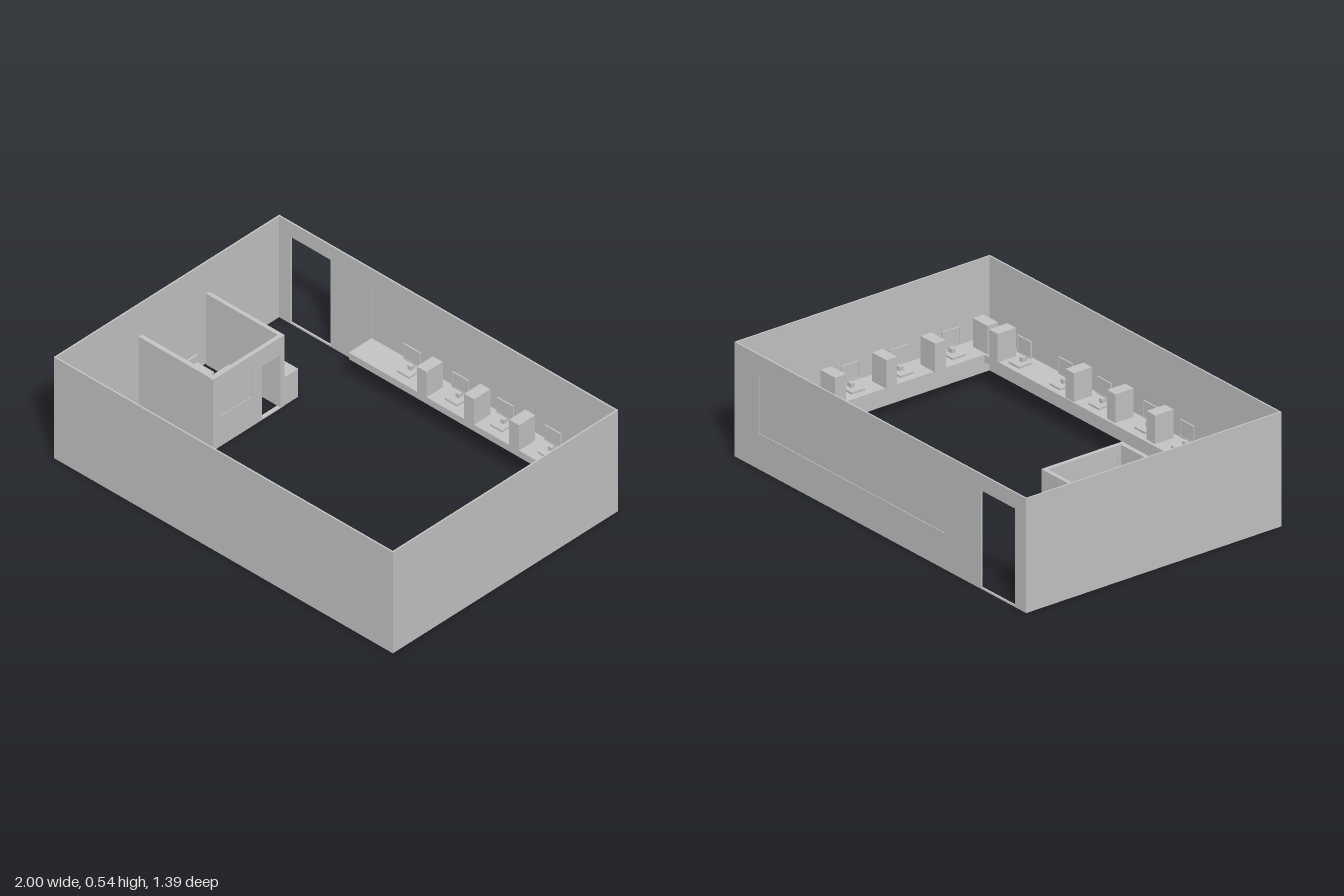
import * as THREE from 'three';

const grey = new THREE.MeshStandardMaterial({ color: 0xc4c4c4 });
grey.name = 'light grey';

// Box given by its minimum and maximum on each axis
function box(parent, name, x0, x1, y0, y1, z0, z1) {
  const mesh = new THREE.Mesh(new THREE.BoxGeometry(x1 - x0, y1 - y0, z1 - z0), grey);
  mesh.position.set((x0 + x1) / 2, (y0 + y1) / 2, (z0 + z1) / 2);
  mesh.name = name;
  parent.add(mesh);
  return mesh;
}

function subgroup(parent, name, x = 0, y = 0, z = 0, turn = 0) {
  const g = new THREE.Group();
  g.name = name;
  g.position.set(x, y, z);
  g.rotation.y = turn;
  parent.add(g);
  return g;
}

// Upright panel in the XY plane with rectangular holes [u0, u1, v0, v1]
function panel(parent, name, u0, u1, height, depth, holes) {
  const rect = (P, a, b, c, d) => new P([[a, c], [b, c], [b, d], [a, d]].map(p => new THREE.Vector2(...p)));
  const shape = rect(THREE.Shape, u0, u1, 0, height);
  holes.forEach(h => shape.holes.push(rect(THREE.Path, ...h)));
  const mesh = new THREE.Mesh(new THREE.ExtrudeGeometry(shape, { depth, bevelEnabled: false }), grey);
  mesh.name = name;
  parent.add(mesh);
  return mesh;
}

// Screen facing local +z, on a post and a flat base
function monitor(parent, x, y, z, turn) {
  const g = subgroup(parent, 'monitor', x, y, z, turn);
  box(g, 'screen', -0.048, 0.048, 0.035, 0.115, -0.003, 0.002);
  box(g, 'screenFrameTop', -0.048, 0.048, 0.11, 0.115, 0.002, 0.004);
  box(g, 'screenFrameBottom', -0.048, 0.048, 0.035, 0.04, 0.002, 0.004);
  for (const s of [-1, 1]) box(g, 'screenFrameSide', s * 0.0455 - 0.0025, s * 0.0455 + 0.0025, 0.04, 0.11, 0.002, 0.004);
  box(g, 'post', -0.01, 0.01, 0.008, 0.06, -0.009, -0.003);
  box(g, 'neck', -0.01, 0.01, 0.008, 0.03, -0.003, 0.02);
  box(g, 'base', -0.036, 0.036, 0, 0.01, -0.01, 0.058);
}

// Computer case, long along local z
function tower(parent, x, y, z, turn) {
  const g = subgroup(parent, 'computerCase', x, y, z, turn);
  box(g, 'case', -0.029, 0.029, 0, 0.135, -0.05, 0.05);
}

function legs(parent, x0, x1, z0, z1, h, t) {
  for (const x of [x0, x1 - t]) for (const z of [z0, z1 - t]) box(parent, 'leg', x, x + t, 0, h, z, z + t);
}

export function createModel() {
  const room = new THREE.Group();
  room.name = 'computerRoom';
  const H = 0.54, X = 1, Z = 0.696, T = 0.008;

  // Outer walls; the back one has a doorway and a wide window
  const walls = subgroup(room, 'walls');
  box(walls, 'frontWall', -X, X - T, 0, H, Z - T, Z);
  box(walls, 'rightWall', -X, -X + T, 0, H, -Z + T, Z - T);
  box(walls, 'leftWall', X - T, X, 0, H, -Z + T, Z);
  panel(walls, 'backWall', -X, X, H, T, [[-0.925, -0.69, 0.008, 0.465], [-0.447, 0.832, 0.17, 0.45]]).position.z = -Z;
  box(walls, 'windowPane', -0.447, 0.832, 0.17, 0.45, -Z + 0.0035, -Z + 0.0045);

  // Worktops around three sides
  const D0 = 0.135, D1 = 0.17;
  const tops = subgroup(room, 'worktops');
  box(tops, 'backWorktop', -0.45, X - T, D0, D1, -Z + T, -0.55);
  box(tops, 'sideWorktop', 0.848, X - T, D0, D1, -0.55, Z - T);
  box(tops, 'frontWorktop', -0.538, 0.848, D0, D1, 0.545, Z - T);

  // Workstations
  const stations = subgroup(room, 'workstations');
  [-0.17, 0.113, 0.378, 0.66].forEach(x => monitor(stations, x, D1, -0.65, 0));
  [-0.02, 0.26, 0.525, 0.81].forEach(x => tower(stations, x, D1, -0.6, 0));
  [-0.39, -0.11, 0.155, 0.44].forEach(z => monitor(stations, 0.945, D1, z, -Math.PI / 2));
  [-0.245, 0.035, 0.3, 0.585].forEach(z => tower(stations, 0.89, D1, z, Math.PI / 2));
  [[-0.41, 0.65], [-0.165, 0.645], [0.145, 0.64], [0.4, 0.632], [0.68, 0.63]]
    .forEach(([x, z]) => monitor(stations, x, D1, z, Math.PI));
  [[-0.275, 0.61], [-0.005, 0.608], [0.27, 0.6], [0.78, 0.59]].forEach(([x, z]) => tower(stations, x, D1, z, 0));

  // Office partitions with a doorway and a shallow window
  const office = subgroup(room, 'officePartitions');
  const P = 0.38;
  box(office, 'backPartition', -0.985, -0.563, 0, P, -0.25, -0.23);
  box(office, 'frontPartition', -0.985, -0.563, 0, P, 0.167, 0.189);
  const side = panel(office, 'sidePartition', -0.192, 0.25, P, 0.02, [[0.11, 0.225, 0.005, 0.285], [-0.15, 0.05, 0.16, 0.32]]);
  side.rotation.y = Math.PI / 2;
  side.position.x = -0.563;
  box(office, 'partitionPane', -0.56, -0.546, 0.16, 0.32, -0.05, 0.15);
  box(office, 'lowPartition', -0.57, -0.538, 0, 0.18, 0.36, Z - T);

  // Open pigeonhole shelf behind the office
  const shelf = subgroup(room, 'shelf');
  for (const y of [0.005, 0.07, 0.14]) box(shelf, 'shelfBoard', -0.972, -0.545, y, y + 0.01, -0.337, -0.252);
  for (let i = 0; i <= 5; i++) {
    const x = -0.97 + i * 0.083;
    box(shelf, 'shelfDivider', x, x + 0.01, 0, 0.145, -0.335, -0.252);
  }

  // Two staff desks, each with a chair and computer
  for (const z of [-0.008, 0.528]) {
    const desk = subgroup(room, 'staffDesk', 0, 0, z);
    box(desk, 'deskTop', -0.775, -0.646, 0.14, 0.155, -0.143, 0.146);
    legs(desk, -0.772, -0.649, -0.14, 0.143, 0.14, 0.014);
    monitor(desk, -0.663, 0.155, 0.015, -Math.PI / 2);
    tower(desk, -0.71, 0.155, 0.098, Math.PI / 2);
    const chair = subgroup(desk, 'chair', 0, 0, 0.012);
    box(chair, 'seat', -0.875, -0.775, 0.085, 0.097, -0.06, 0.06);
    legs(chair, -0.873, -0.777, -0.058, 0.058, 0.085, 0.012);
    box(chair, 'backrest', -0.877, -0.867, 0.097, 0.21, -0.06, 0.06);
  }
  return room;
}
